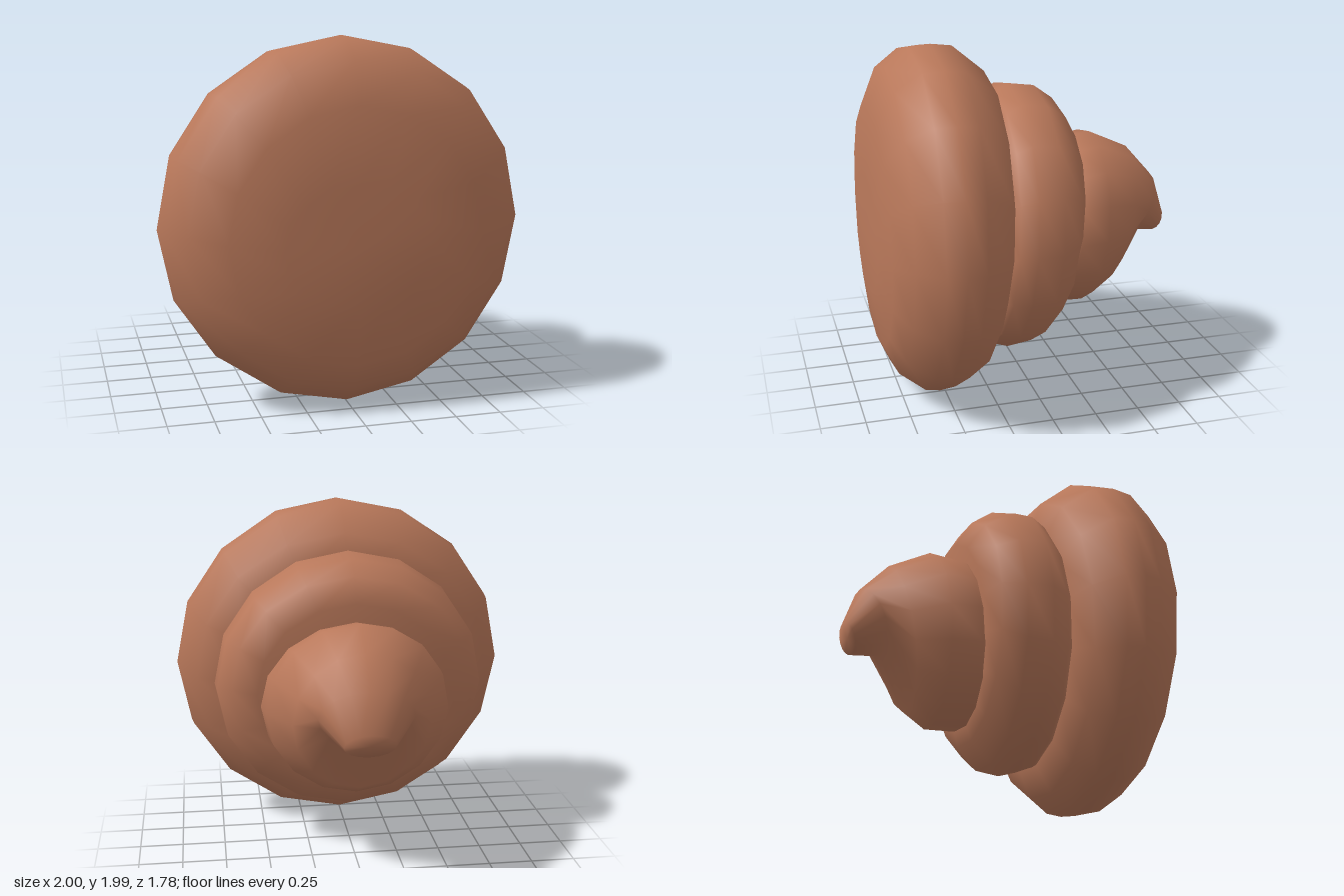
import * as THREE from 'three';

const SIDES = 16;

// Skin a closed body through tilted elliptical rings, front to back.
// Each ring: [top y, top z, bottom y, bottom z, half width]
function loft(rings) {
  const pos = [], index = [];
  for (const [ty, tz, by, bz, w] of rings) {
    for (let j = 0; j < SIDES; j++) {
      const a = (j / SIDES) * Math.PI * 2, s = Math.sin(a);
      pos.push(w * Math.cos(a), (ty + by) / 2 + s * (ty - by) / 2, (tz + bz) / 2 + s * (tz - bz) / 2);
    }
  }
  // End caps meet at a pole in the middle of the first and last ring
  const first = rings[0], last = rings[rings.length - 1];
  const front = rings.length * SIDES, back = front + 1;
  for (const [ty, tz, by, bz] of [first, last]) pos.push(0, (ty + by) / 2, (tz + bz) / 2);

  for (let j = 0; j < SIDES; j++) {
    const k = (j + 1) % SIDES;
    index.push(front, j, k);
    for (let i = 0; i < rings.length - 1; i++) {
      const a = i * SIDES + j, b = i * SIDES + k;
      index.push(a, a + SIDES, b, b, a + SIDES, b + SIDES);
    }
    const o = (rings.length - 1) * SIDES;
    index.push(back, o + k, o + j);
  }
  const geo = new THREE.BufferGeometry();
  geo.setAttribute('position', new THREE.Float32BufferAttribute(pos, 3));
  geo.setIndex(index);
  geo.computeVertexNormals();
  return geo;
}

const PARTS = {
  // Broad base coil with a nearly flat front face
  baseCoil: [
    [1.25, 0.875, 0.6, 0.89, 0.4],
    [1.65, 0.85, 0.28, 0.85, 0.68],
    [1.87, 0.75, 0.12, 0.78, 0.87],
    [1.975, 0.61, 0.01, 0.64, 0.97],
    [1.985, 0.49, 0, 0.56, 1.0],
    [1.97, 0.37, 0.01, 0.47, 0.985],
    [1.82, 0.19, 0.09, 0.35, 0.88],
    [1.62, 0.15, 0.27, 0.25, 0.68],
  ],
  // Slightly tilted middle coil
  middleCoil: [
    [1.6, 0.2, 0.27, 0.3, 0.68],
    [1.69, 0.13, 0.23, 0.24, 0.74],
    [1.74, 0.05, 0.2, 0.14, 0.78],
    [1.72, -0.1, 0.22, 0, 0.77],
    [1.64, -0.21, 0.35, -0.12, 0.69],
    [1.5, -0.29, 0.46, -0.16, 0.55],
  ],
  // Top coil that narrows and droops into a hooked tip
  curledTip: [
    [1.36, -0.2, 0.46, -0.08, 0.49],
    [1.4, -0.3, 0.43, -0.16, 0.53],
    [1.425, -0.44, 0.42, -0.34, 0.51],
    [1.32, -0.67, 0.5, -0.48, 0.38],
    [1.15, -0.82, 0.82, -0.63, 0.26],
    [0.94, -0.89, 0.795, -0.81, 0.14],
  ],
};

export function createModel() {
  const group = new THREE.Group();
  group.name = 'coiledSwirl';
  const brown = new THREE.MeshStandardMaterial({ color: 0xb9785a });
  brown.name = 'warm brown';
  for (const [name, rings] of Object.entries(PARTS)) {
    const mesh = new THREE.Mesh(loft(rings), brown);
    mesh.name = name;
    group.add(mesh);
  }
  return group;
}
